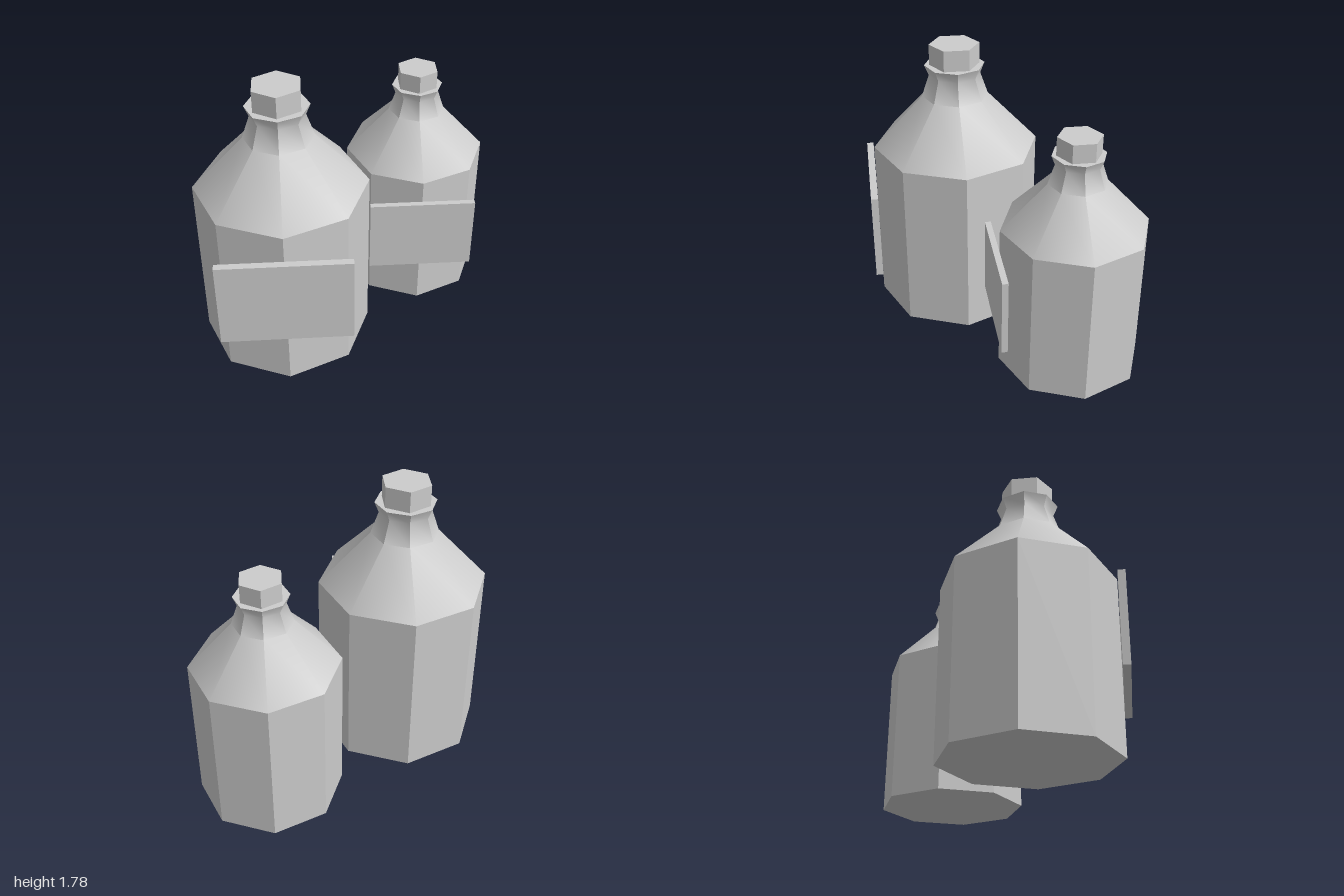
import * as THREE from 'three';
import { toCreasedNormals } from 'three/addons/utils/BufferGeometryUtils.js';

const BASE = 0.05; // height of the lower rim

// Bottle outline: [apothem, height above the lower rim]
const PROFILE = [
  [0, -0.045], [0.48, 0], [0.48, 1.08], [0.19, 1.41],
  [0.147, 1.545], [0.172, 1.61], [0, 1.61],
];

function bottle(name, material) {
  const group = new THREE.Group();
  group.name = name;
  const add = (part, geometry) => {
    const mesh = new THREE.Mesh(geometry, material);
    mesh.name = part;
    group.add(mesh);
    return mesh;
  };

  // Eight-sided body with smooth shoulder, neck and flared lip
  const points = PROFILE.map(([r, y]) => new THREE.Vector2(r / Math.cos(Math.PI / 8), y));
  const lathe = new THREE.LatheGeometry(points, 8, Math.PI / 8);
  const body = add('bottleBody', toCreasedNormals(lathe, THREE.MathUtils.degToRad(40)));
  body.rotation.y = 0.01;

  // Six-sided stopper
  const cap = new THREE.CylinderGeometry(0.154, 0.154, 0.13, 6, 1, false, THREE.MathUtils.degToRad(37));
  add('stopper', toCreasedNormals(cap, 0.5)).position.y = 1.675;

  // Flat label board leaning against a front corner
  const board = add('labelBoard', new THREE.BoxGeometry(0.773, 0.553, 0.043));
  board.position.set(-0.204, 0.645, 0.503);
  board.rotation.y = -0.392;
  return group;
}

export function createModel() {
  const model = new THREE.Group();
  model.name = 'bottlePair';
  const grey = new THREE.MeshStandardMaterial({ color: 0xcccccc });
  grey.name = 'paleGrey';

  const large = bottle('largeBottle', grey);
  large.position.set(-0.428, BASE, -0.03);

  const small = bottle('smallBottle', grey);
  small.position.set(0.593, BASE, -0.242);
  small.scale.set(0.845, 0.861, 0.845);

  model.add(large, small);
  return model;
}
